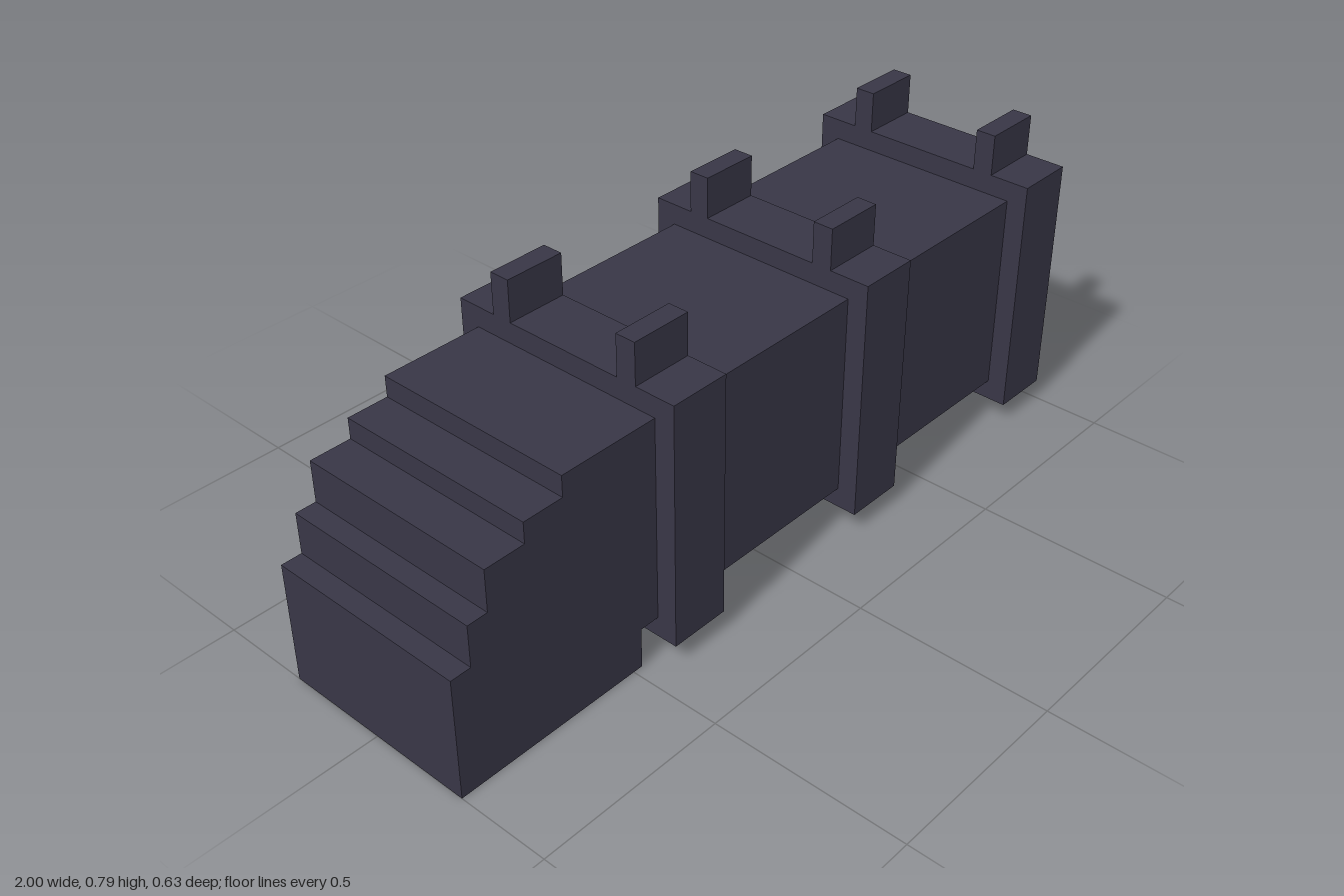
import * as THREE from 'three';

const U = 2 / 38; // one block of the stepped design

export function createModel() {
  const model = new THREE.Group();
  model.name = 'pipe';
  const slate = new THREE.MeshStandardMaterial({ color: 0x383646 });
  slate.name = 'dark slate';

  const add = (geometry, name) => {
    const mesh = new THREE.Mesh(geometry, slate);
    mesh.name = name;
    model.add(mesh);
    return mesh;
  };

  // Block given by its corner limits, in units measured from the left end
  const block = (name, x0, x1, y0, y1, z0, z1) => {
    const mesh = add(new THREE.BoxGeometry((x1 - x0) * U, (y1 - y0) * U, (z1 - z0) * U), name);
    mesh.position.set(((x0 + x1) / 2) * U - 1, ((y0 + y1) / 2) * U, ((z0 + z1) / 2) * U);
  };

  // Side profile extruded across z
  const slab = (name, points, z0, z1) => {
    const shape = new THREE.Shape(points.map(([x, y]) => new THREE.Vector2(x * U - 1, y * U)));
    const geometry = new THREE.ExtrudeGeometry(shape, { depth: (z1 - z0) * U, bevelEnabled: false });
    geometry.translate(0, 0, z0 * U);
    add(geometry, name);
  };

  // Stepped elbow and straight pipe share one outline
  const outline = [
    [10, 0], [10, 2], [36, 2], [36, 12], [6, 12], [6, 11], [4, 11], [4, 10],
    [2, 10], [2, 8], [1, 8], [1, 6], [0, 6], [0, 0],
  ];
  // Downward opening, left out of the middle slab
  const opening = [[1, 0], [1, 6], [9, 6], [9, 0]];
  slab('pipeFrontWall', outline, 4, 5);
  slab('pipeBackWall', outline, -5, -4);
  slab('pipeCore', [...outline, ...opening], -4, 4);

  // Collars, each with a pair of mounting lugs on top
  for (const x of [11, 23, 35]) {
    block('collar', x, x + 3, 1, 13, -6, 6);
    for (const z of [-4, 3]) block('mountingLug', x, x + 3, 13, 15, z, z + 1);
  }
  return model;
}
